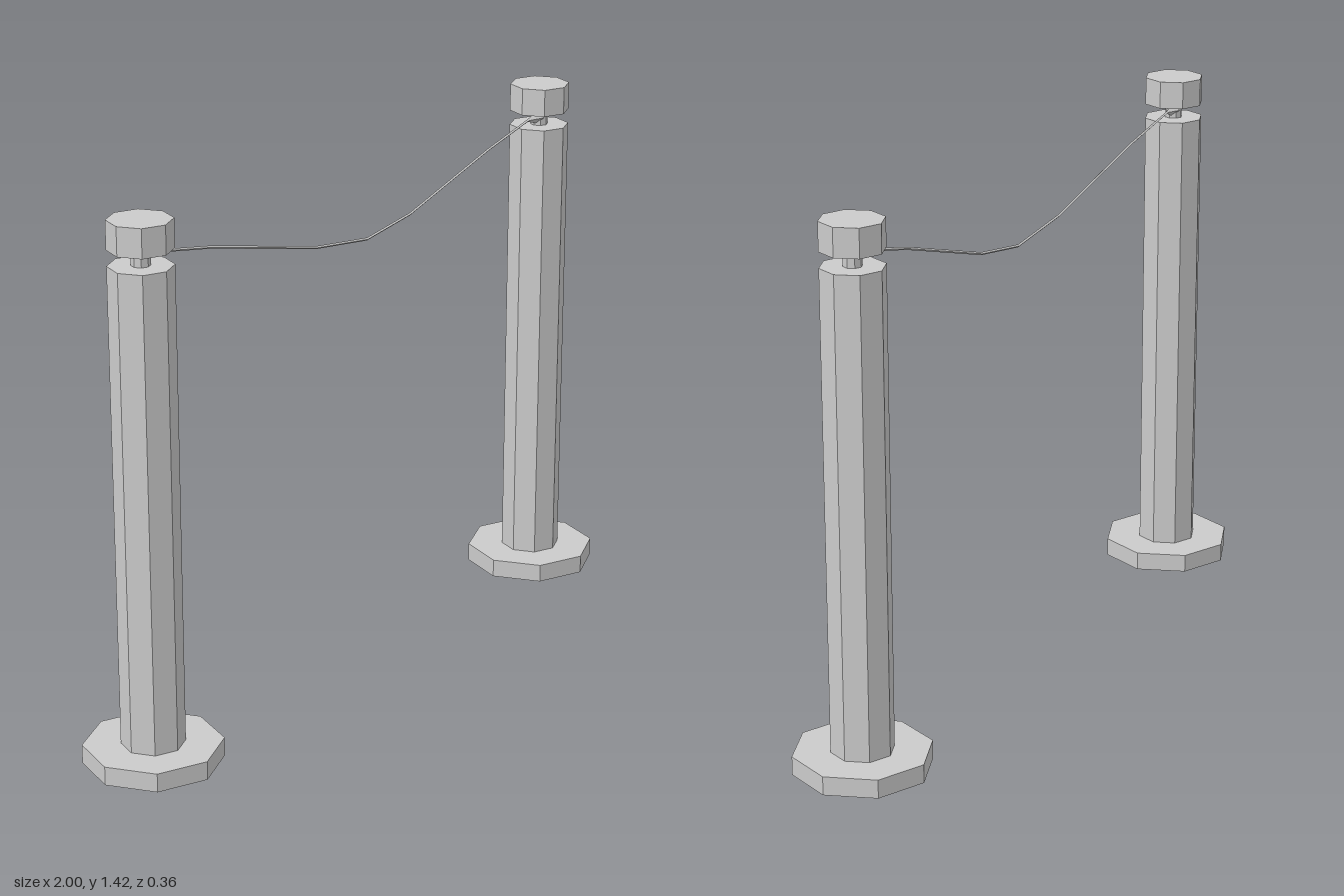
import * as THREE from 'three';

const material = new THREE.MeshStandardMaterial({ color: 0xcccccc, flatShading: true });

function part(name, geometry) {
  const mesh = new THREE.Mesh(geometry, material);
  mesh.name = name;
  return mesh;
}

// Upright octagonal prism between two heights
function prism(name, radius, bottom, top) {
  const mesh = part(name, new THREE.CylinderGeometry(radius, radius, top - bottom, 8));
  mesh.position.y = (bottom + top) / 2;
  return mesh;
}

function createPost(name, x) {
  const post = new THREE.Group();
  post.name = name;
  post.add(
    prism('base', 0.18, 0, 0.05),
    prism('shaft', 0.082, 0.05, 1.31),
    prism('neck', 0.024, 1.31, 1.35),
    prism('cap', 0.082, 1.35, 1.425)
  );
  post.position.x = x;
  return post;
}

// Sagging rope: a four-sided tube whose rings follow [x, y, z, radius]
function createRope() {
  const rings = [
    [-0.81, 1.332, -0.004, 0.02],
    [-0.775, 1.332, -0.004, 0.004],
    [-0.56, 1.29, -0.004, 0.004],
    [-0.155, 1.188, -0.006, 0.004],
    [0.055, 1.16, -0.005, 0.004],
    [0.235, 1.186, -0.002, 0.004],
    [0.575, 1.288, 0.004, 0.004],
    [0.76, 1.332, 0.005, 0.004],
    [0.81, 1.332, 0.004, 0.02]
  ];
  const segments = rings.length - 1;
  const geometry = new THREE.CylinderGeometry(1, 1, 1, 4, segments, true);
  geometry.rotateZ(-Math.PI / 2);
  const p = geometry.attributes.position;
  for (let i = 0; i < p.count; i++) {
    const [x, y, z, r] = rings[Math.round((p.getX(i) + 0.5) * segments)];
    p.setXYZ(i, x, y + p.getY(i) * r, z + p.getZ(i) * r);
  }
  geometry.computeVertexNormals();
  return part('rope', geometry);
}

export function createModel() {
  const model = new THREE.Group();
  model.name = 'ropeBarrier';
  model.add(createPost('leftPost', 0.82), createPost('rightPost', -0.82), createRope());
  return model;
}
